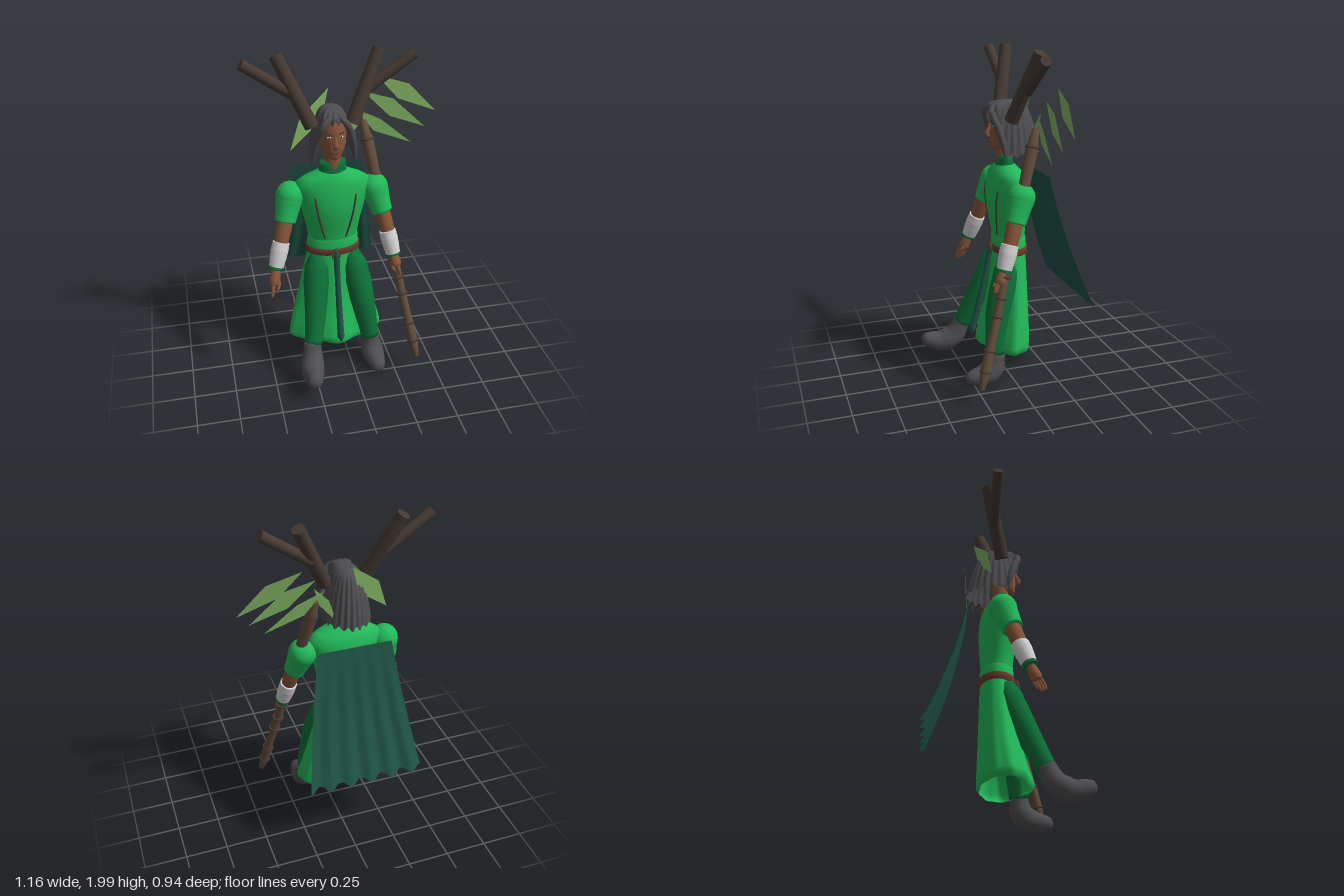
import * as THREE from 'three';
import { mergeVertices } from 'three/addons/utils/BufferGeometryUtils.js';

const V = (x, y, z) => new THREE.Vector3(x, y, z);
const CX = -0.083; // body centre line
const { lerp, smoothstep } = THREE.MathUtils;

const paint = (name, color, side = THREE.FrontSide) => {
  const m = new THREE.MeshStandardMaterial({ color, side });
  m.name = name;
  return m;
};

// Rebuild smooth normals across seams
function smooth(g) {
  g.deleteAttribute('uv');
  g.deleteAttribute('normal');
  g = mergeVertices(g, 1e-5);
  g.computeVertexNormals();
  return g;
}

// Body shell from horizontal ellipses, top to bottom: [y, half width, front z, back z]
function loft(rings, bulge = () => 0, seg = 48) {
  const n = rings.length - 1;
  const g = new THREE.CylinderGeometry(1, 1, 1, seg, n, true);
  const p = g.attributes.position;
  for (let i = 0; i < p.count; i++) {
    const row = Math.round((0.5 - p.getY(i)) * n);
    const [y, rx, zf, zb] = rings[row];
    const a = Math.atan2(p.getX(i), p.getZ(i));
    const k = 1 + bulge(a, row / n);
    p.setXYZ(i, CX + rx * k * Math.sin(a), y, (zf + zb) / 2 + (zf - zb) / 2 * k * Math.cos(a));
  }
  return smooth(g);
}

// Closed tube whose radius follows a list along its path
function limb(points, radii, seg = 24, sides = 16) {
  const curve = new THREE.CatmullRomCurve3(points.map(q => V(...q)));
  const g = new THREE.TubeGeometry(curve, seg, 1, sides);
  const p = g.attributes.position, v = V(0, 0, 0);
  for (let i = 0; i < p.count; i++) {
    const row = Math.floor(i / (sides + 1)), u = row / seg;
    const f = u * (radii.length - 1), j = Math.min(Math.floor(f), radii.length - 2);
    const r = row === 0 || row === seg ? 0 : lerp(radii[j], radii[j + 1], f - j);
    const c = curve.getPointAt(u);
    v.fromBufferAttribute(p, i).sub(c).multiplyScalar(r).add(c);
    p.setXYZ(i, v.x, v.y, v.z);
  }
  return smooth(g);
}

export function createModel() {
  const root = new THREE.Group();
  const D = THREE.DoubleSide;
  const tunic = paint('tunic green', 0x22b859, D), dark = paint('trouser green', 0x0c7038);
  const teal = paint('cape teal', 0x1f5345, D), grey = paint('hair and boot grey', 0x4e4e51, D);
  const skin = paint('skin', 0x87553a), pale = paint('cuff white', 0xd2d2d2);
  const bark = paint('antler bark', 0x463932), wood = paint('staff wood', 0x634d3b);
  const leafy = paint('leaf green', 0x7fb162, D), leather = paint('belt leather', 0x6b3b2c);
  const add = (name, g, m, parent = root) => {
    const mesh = new THREE.Mesh(g, m);
    mesh.name = name;
    parent.add(mesh);
    return mesh;
  };
  const ball = (name, m, x, y, z, sx, sy, sz) => {
    const b = add(name, new THREE.SphereGeometry(1, 24, 16), m);
    b.position.set(x, y, z);
    b.scale.set(sx, sy, sz);
    return b;
  };
  const rod = (name, a, b, r1, r2, m) => {
    const d = V(...b).sub(V(...a));
    const c = add(name, new THREE.CylinderGeometry(r2, r1, d.length(), 20), m);
    c.position.copy(V(...a)).addScaledVector(d, 0.5);
    c.quaternion.setFromUnitVectors(V(0, 1, 0), d.normalize());
    return c;
  };

  // Torso, collar, hip band and belt
  const body = [
    [1.325, 0.08, 0.03, -0.065], [1.305, 0.115, 0.045, -0.085], [1.28, 0.17, 0.06, -0.11],
    [1.25, 0.215, 0.07, -0.13], [1.2, 0.215, 0.08, -0.142], [1.13, 0.2, 0.088, -0.147],
    [1.05, 0.18, 0.083, -0.143], [0.97, 0.163, 0.07, -0.138], [0.88, 0.148, 0.052, -0.13],
    [0.78, 0.15, 0.05, -0.135]];
  add('tunic', loft(body), tunic);
  add('collar', loft([[1.38, 0.0, -0.01, -0.02], [1.38, 0.074, 0.028, -0.055], [1.35, 0.077, 0.032, -0.06],
    [1.305, 0.086, 0.04, -0.075]]), dark);
  add('hipBand', loft([[0.885, 0.146, 0.05, -0.13], [0.87, 0.154, 0.058, -0.138], [0.82, 0.157, 0.06, -0.14]]), tunic);
  add('belt', loft([[0.826, 0.15, 0.05, -0.13], [0.822, 0.165, 0.066, -0.147], [0.784, 0.166, 0.067, -0.147],
    [0.78, 0.15, 0.05, -0.13]]), leather);

  // Dark seams following the chest
  const chestZ = (x, y) => {
    const j = body.findIndex(r => r[0] <= y), a = body[j - 1], b = body[j];
    const [, rx, f, k] = a.map((q, i) => lerp(q, b[i], (a[0] - y) / (a[0] - b[0])));
    return (f + k) / 2 + (f - k) / 2 * Math.sqrt(1 - ((x - CX) / rx) ** 2);
  };
  for (const s of [-1, 1]) {
    const pts = [0, 0.25, 0.5, 0.75, 1].map(t => {
      const y = lerp(1.19, 0.89, t), x = CX + s * lerp(0.122, 0.06, t * t * 0.4 + t * 0.6);
      return [x, y, chestZ(x, y) + 0.004];
    });
    add('chestSeam', limb(pts, [0.005, 0.006, 0.005], 20, 8), bark);
  }

  // Skirt with soft pleats and a forward centre fold
  const skirt = [[0.8, 0.15, 0.05, -0.135], [0.72, 0.17, 0.055, -0.138], [0.6, 0.2, 0.065, -0.14],
    [0.45, 0.237, 0.085, -0.143], [0.32, 0.27, 0.115, -0.146], [0.24, 0.288, 0.135, -0.148],
    [0.21, 0.287, 0.135, -0.145], [0.19, 0.265, 0.12, -0.13]];
  add('skirt', loft(skirt, (a, t) => t * (0.03 * Math.cos(9 * a) + 0.28 * Math.exp(-((a / 0.3) ** 2))), 90), tunic);

  // Hanging strap and buckle
  add('strap', limb([[CX, 0.84, 0.07], [CX, 0.7, 0.095], [CX, 0.5, 0.14], [CX, 0.24, 0.205]],
    [0.02, 0.017, 0.019, 0.022], 20, 8), teal);
  const buckle = add('buckle', new THREE.TorusGeometry(0.03, 0.008, 8, 4), leather);
  buckle.position.set(CX, 0.803, 0.078);
  buckle.rotation.z = Math.PI / 4;

  // Legs and boots
  add('rightLeg', limb([[-0.185, 0.79, 0.0], [-0.2, 0.65, 0.035], [-0.225, 0.45, 0.125], [-0.262, 0.24, 0.225]],
    [0.035, 0.074, 0.078, 0.072, 0.065, 0.058, 0.052]), dark);
  add('leftLeg', limb([[0.02, 0.79, 0.0], [0.045, 0.65, 0.02], [0.085, 0.42, 0.085], [0.125, 0.17, 0.115]],
    [0.035, 0.076, 0.083, 0.078, 0.07, 0.062, 0.056]), dark);
  add('rightBoot', limb([[-0.262, 0.285, 0.205], [-0.275, 0.17, 0.265], [-0.285, 0.135, 0.34], [-0.289, 0.155, 0.43],
    [-0.29, 0.168, 0.474]], [0.05, 0.056, 0.067, 0.072, 0.064, 0.052, 0.03]), grey);
  add('leftBoot', limb([[0.125, 0.21, 0.105], [0.131, 0.1, 0.135], [0.136, 0.072, 0.19], [0.14, 0.066, 0.27],
    [0.14, 0.066, 0.308]], [0.054, 0.058, 0.068, 0.07, 0.06, 0.048, 0.025]), grey);

  // Arms: shoulder, elbow, wrist and fingertip
  const arms = [
    ['right', -1, [-0.335, 1.17, -0.03], [-0.383, 1.0, 0.03], [-0.452, 0.77, 0.105], [-0.49, 0.6, 0.17]],
    ['left', 1, [0.17, 1.17, -0.03], [0.216, 1.0, 0.03], [0.262, 0.77, 0.105], [0.288, 0.645, 0.155]]];
  for (const [side, s, sh, el, wr, tip] of arms) {
    const mix = (a, b, t) => a.map((q, i) => lerp(q, b[i], t));
    ball(side + 'Shoulder', tunic, ...sh, 0.083, 0.085, 0.083);
    add(side + 'Sleeve', limb([mix(sh, el, -0.1), mix(sh, el, 0.4), mix(sh, el, 0.88)],
      [0.078, 0.08, 0.072, 0.066, 0.062]), tunic);
    add(side + 'Forearm', limb([mix(sh, el, 0.7), el, wr, mix(wr, tip, 0.15)], [0.047, 0.046, 0.042, 0.035, 0.026]), skin);
    add(side + 'Cuff', limb([mix(el, wr, 0.35), mix(el, wr, 0.7), wr], [0.05, 0.053, 0.049, 0.043], 30), pale);
    add(side + 'CuffTrim', limb([mix(el, wr, 0.95), wr, mix(wr, tip, 0.05)], [0.046, 0.046], 10), dark);
    add(side + 'Palm', limb([wr, mix(wr, tip, 0.25), mix(wr, tip, 0.6)], [0.024, 0.03, 0.034, 0.026], 14), skin);
    for (let i = 0; i < 4; i++) {
      const o = (i - 1.5) * 0.014, k = 1 - 0.06 * Math.abs(i - 1.2);
      const at = (t, w) => { const q = mix(wr, tip, t * k); return [q[0] + o * 0.4 * s, q[1] - o * 0.3, q[2] + o * w]; };
      add(side + 'Finger', limb([at(0.48, 0.9), at(0.75, 1.2), at(1, 1)], [0.011, 0.01, 0.007], 10, 8), skin);
    }
    const th = mix(wr, tip, 0.3), te = mix(wr, tip, 0.7);
    add(side + 'Thumb', limb([th, [th[0] - s * 0.02, th[1] - 0.03, th[2] + 0.025], [te[0] - s * 0.018, te[1], te[2] + 0.03]],
      [0.014, 0.011, 0.007], 10, 8), skin);
  }

  // Neck, head and face
  rod('neck', [CX, 1.33, -0.015], [CX, 1.47, -0.02], 0.05, 0.048, skin);
  add('head', loft([[1.68, 0.001, -0.03, -0.032], [1.67, 0.045, 0.03, -0.1], [1.63, 0.075, 0.062, -0.13],
    [1.58, 0.082, 0.074, -0.14], [1.53, 0.08, 0.073, -0.13], [1.48, 0.073, 0.074, -0.1], [1.445, 0.058, 0.073, -0.07],
    [1.42, 0.038, 0.07, -0.03], [1.408, 0.02, 0.06, 0], [1.405, 0.001, 0.04, 0.038]]), skin);
  add('nose', limb([[CX, 1.56, 0.07], [CX, 1.525, 0.083], [CX, 1.498, 0.094], [CX, 1.485, 0.076]],
    [0.008, 0.011, 0.015, 0.013], 12, 10), skin);
  ball('mouth', leather, CX, 1.457, 0.071, 0.024, 0.008, 0.009);
  for (const s of [-1, 1]) {
    ball('eye', pale, CX + s * 0.034, 1.55, 0.063, 0.013, 0.006, 0.008);
    ball('iris', bark, CX + s * 0.034, 1.55, 0.067, 0.0055, 0.0058, 0.006);
    const brow = ball('eyebrow', bark, CX + s * 0.036, 1.573, 0.066, 0.02, 0.004, 0.008);
    brow.rotation.set(0, s * 0.35, s * 0.15);
    ball('ear', skin, CX + s * 0.088, 1.53, -0.03, 0.012, 0.03, 0.02);
  }

  // Bobbed hair: a ribbed dome that is short over the brow and long elsewhere
  const hair = new THREE.CylinderGeometry(1, 1, 1, 144, 24, true);
  const hp = hair.attributes.position;
  for (let i = 0; i < hp.count; i++) {
    const a = Math.atan2(hp.getX(i), hp.getZ(i)), t = (0.5 - hp.getY(i)) * Math.PI / 2;
    const hem = lerp(1.635, 1.385, smoothstep(Math.abs(a), 0.6, 1.12)) + 0.012 * Math.cos(a * 18);
    const y = hem + (1.695 - hem) * Math.max(0, Math.cos(t)) ** 0.7;
    const r = Math.sin(t) ** 0.65 * (1 + 0.03 * Math.cos(a * 24 + 2 * t) * Math.sin(t)) * (1 + 1.1 * Math.max(0, 1.6 - y));
    hp.setXYZ(i, CX + 0.108 * r * Math.sin(a), y, -0.05 + (Math.cos(a) < 0 ? 0.14 : 0.135) * r * Math.cos(a));
  }
  add('hair', smooth(hair), grey);
  for (const s of [-1, 1]) {
    add('frontLock', limb([[CX + s * 0.01, 1.675, 0.05], [CX + s * 0.06, 1.635, 0.082], [CX + s * 0.095, 1.55, 0.055],
      [CX + s * 0.115, 1.46, 0.03], [CX + s * 0.125, 1.375, 0.02]], [0.012, 0.02, 0.022, 0.02, 0.006]), grey);
  }

  // Forked antlers
  for (const s of [-1, 1]) {
    rod('antler', [CX + s * 0.115, 1.59, -0.02], [CX + s * 0.292, 1.98, -0.125], 0.042, 0.037, bark);
    rod('antlerBranch', [CX + s * 0.21, 1.765, -0.08], [CX + s * 0.485, 1.955, -0.08], 0.032, 0.031, bark);
  }

  // Leaves as thin diamonds: tip, side, tip, side
  const leaves = [
    [[0.22, 1.79, -0.225], [0.415, 1.73, -0.205], [0.575, 1.56, -0.18], [0.35, 1.645, -0.2]],
    [[0.135, 1.71, -0.19], [0.31, 1.66, -0.17], [0.5, 1.48, -0.145], [0.29, 1.555, -0.165]],
    [[0.08, 1.62, -0.16], [0.23, 1.55, -0.14], [0.415, 1.395, -0.12], [0.19, 1.48, -0.14]],
    [[-0.07, 1.75, -0.185], [-0.12, 1.57, -0.15], [-0.315, 1.42, -0.09], [-0.25, 1.605, -0.12]],
    [[0.14, 1.645, -0.16], [0.105, 1.53, -0.15], [0.0, 1.4, -0.13], [0.05, 1.55, -0.15]]];
  for (const q of leaves) {
    const g = new THREE.BufferGeometry().setFromPoints(q.map(c => V(...c)));
    g.setIndex([0, 3, 1, 1, 3, 2]);
    g.computeVertexNormals();
    add('leaf', g, leafy);
  }

  // Staff with binding rings
  const staff = new THREE.Group();
  staff.name = 'staff';
  const foot = V(0.382, 0.11, 0.28), axis = V(0.12, 1.565, -0.14).sub(foot), len = axis.length();
  staff.position.copy(foot);
  staff.quaternion.setFromUnitVectors(V(0, 1, 0), axis.clone().normalize());
  root.add(staff);
  const profile = [[0, 0], [0.017, 0], [0.03, 0.06], [0.031, 0.15], [0.026, 0.17], [0.026, 0.42], [0.03, 0.6], [0.033, 0.8],
    [0.037, 0.93], [0.03, 0.935], [0.021, 0.99], [0, 1]];
  add('staffShaft', new THREE.LatheGeometry(profile.map(([r, t]) => new THREE.Vector2(r, t * len)), 20), wood, staff);
  for (const t of [0.07, 0.15, 0.28, 0.35, 0.43, 0.92]) {
    const ring = add('staffRing', new THREE.TorusGeometry(t > 0.9 ? 0.034 : 0.03, 0.007, 8, 20), bark, staff);
    ring.position.y = t * len;
    ring.rotation.x = Math.PI / 2;
  }

  // Cape sweeping back with rippled folds
  const cape = new THREE.PlaneGeometry(1, 1, 60, 14);
  const cp = cape.attributes.position;
  for (let i = 0; i < cp.count; i++) {
    const u = cp.getX(i) + 0.5, t = 0.5 - cp.getY(i);
    const wave = Math.cos(u * Math.PI * 11) * t;
    cp.setXYZ(i, lerp(lerp(-0.3, -0.428, t), lerp(0.14, 0.27, t), u),
      1.265 - 0.78 * t + 0.012 * wave, -0.217 - 0.13 * t - 0.105 * t * t + 0.016 * wave);
  }
  cape.computeVertexNormals();
  add('cape', cape, teal);

  return root;
}
